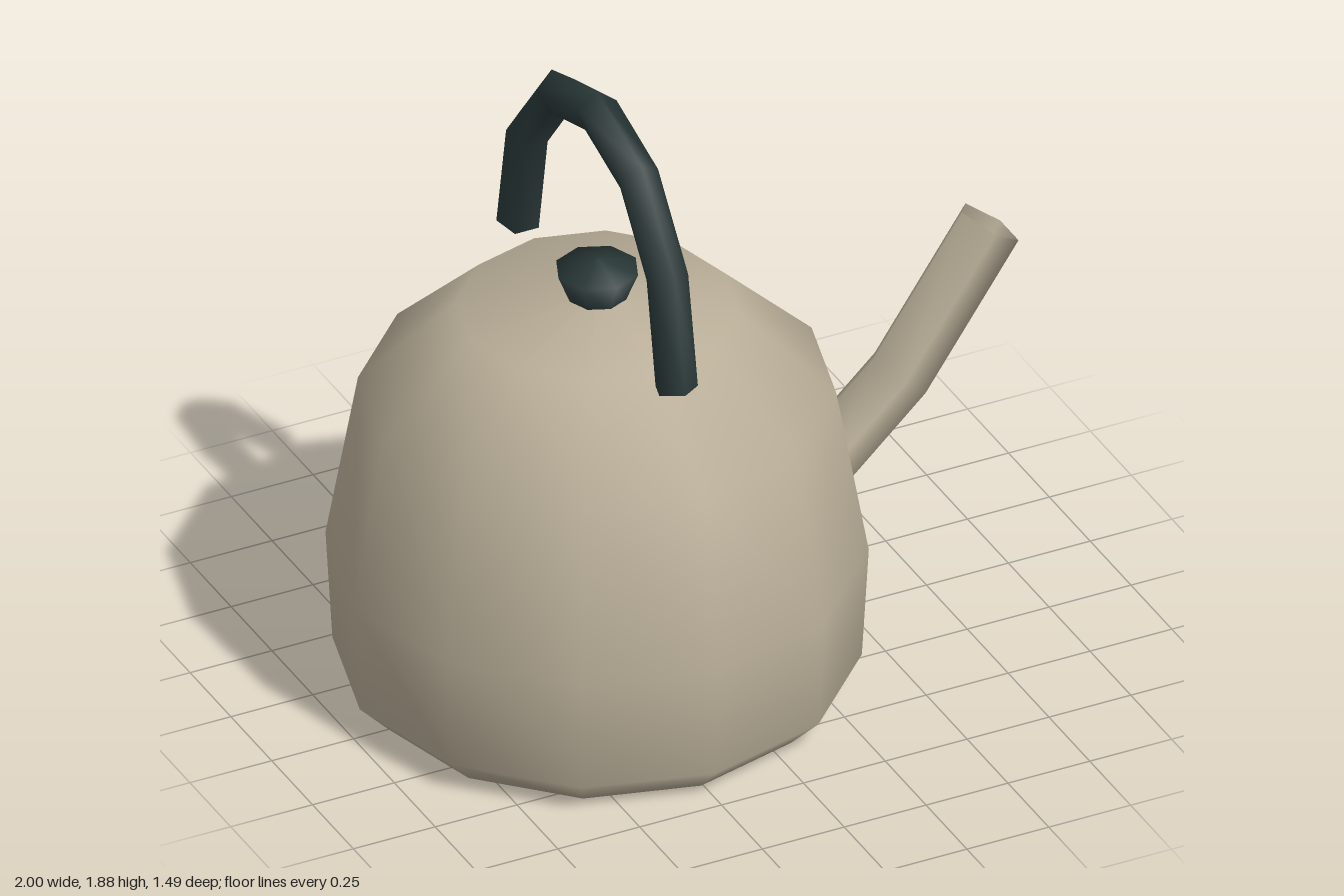
import * as THREE from 'three';

const BODY_X = -0.256;

// Revolved part from [radius, y] pairs, bottom to top
function lathe(name, profile, sides, material) {
  const points = profile.map(([r, y]) => new THREE.Vector2(r, y));
  const mesh = new THREE.Mesh(new THREE.LatheGeometry(points, sides), material);
  mesh.name = name;
  mesh.position.x = BODY_X;
  return mesh;
}

// Open five-sided tube along a bend in the XY plane; one corner points to the outer (left-hand) side
function bentTube(name, path, radius, material) {
  const SIDES = 5;
  const pts = path.map(([x, y]) => new THREE.Vector2(x, y));
  const dirs = pts.slice(1).map((p, i) => p.clone().sub(pts[i]).normalize());
  const position = [], index = [];
  pts.forEach((p, i) => {
    const before = dirs[Math.max(i - 1, 0)];
    const after = dirs[Math.min(i, dirs.length - 1)];
    const t = before.clone().add(after).normalize();
    for (let j = 0; j < SIDES; j++) {
      const a = (j / SIDES) * Math.PI * 2;
      const out = Math.cos(a) * radius;
      position.push(p.x - t.y * out, p.y + t.x * out, Math.sin(a) * radius);
      if (i === 0) continue;
      const k = (j + 1) % SIDES;
      const lo = (i - 1) * SIDES, hi = i * SIDES;
      index.push(lo + j, lo + k, hi + j, lo + k, hi + k, hi + j);
    }
  });
  const geometry = new THREE.BufferGeometry();
  geometry.setAttribute('position', new THREE.Float32BufferAttribute(position, 3));
  geometry.setIndex(index);
  geometry.computeVertexNormals();
  const mesh = new THREE.Mesh(geometry, material);
  mesh.name = name;
  return mesh;
}

export function createModel() {
  const enamel = new THREE.MeshStandardMaterial({ color: 0xb8ad97, side: THREE.DoubleSide });
  enamel.name = 'warm grey enamel';
  const grip = new THREE.MeshStandardMaterial({ color: 0x2a3838, side: THREE.DoubleSide });
  grip.name = 'dark slate grip';

  const kettle = new THREE.Group();
  kettle.name = 'kettle';

  // Body with closed base and shallow domed top
  kettle.add(lathe('body', [
    [0, 0], [0.637, 0], [0.725, 0.09], [0.744, 0.43], [0.655, 0.935], [0.387, 1.19], [0, 1.24],
  ], 12, enamel));

  // Lid knob
  kettle.add(lathe('lidKnob', [[0.08, 1.22], [0.118, 1.315], [0, 1.345]], 8, grip));

  // Open spout, its root sunk into the body
  kettle.add(bentTube('spout', [[0.424, 0.495], [0.66, 0.714], [0.939, 1.122]], 0.096, enamel));

  // Arched handle, mirrored about its crown and turned to run front to back
  const half = [[0.48, 1.198], [0.422, 1.52], [0.244, 1.748]];
  const arch = [
    ...half.map(([x, y]) => [-x, y]),
    [0, 1.823],
    ...half.reverse(),
  ];
  const handle = bentTube('handle', arch, 0.062, grip);
  handle.rotation.y = Math.PI / 2;
  handle.position.x = BODY_X;
  kettle.add(handle);

  return kettle;
}
